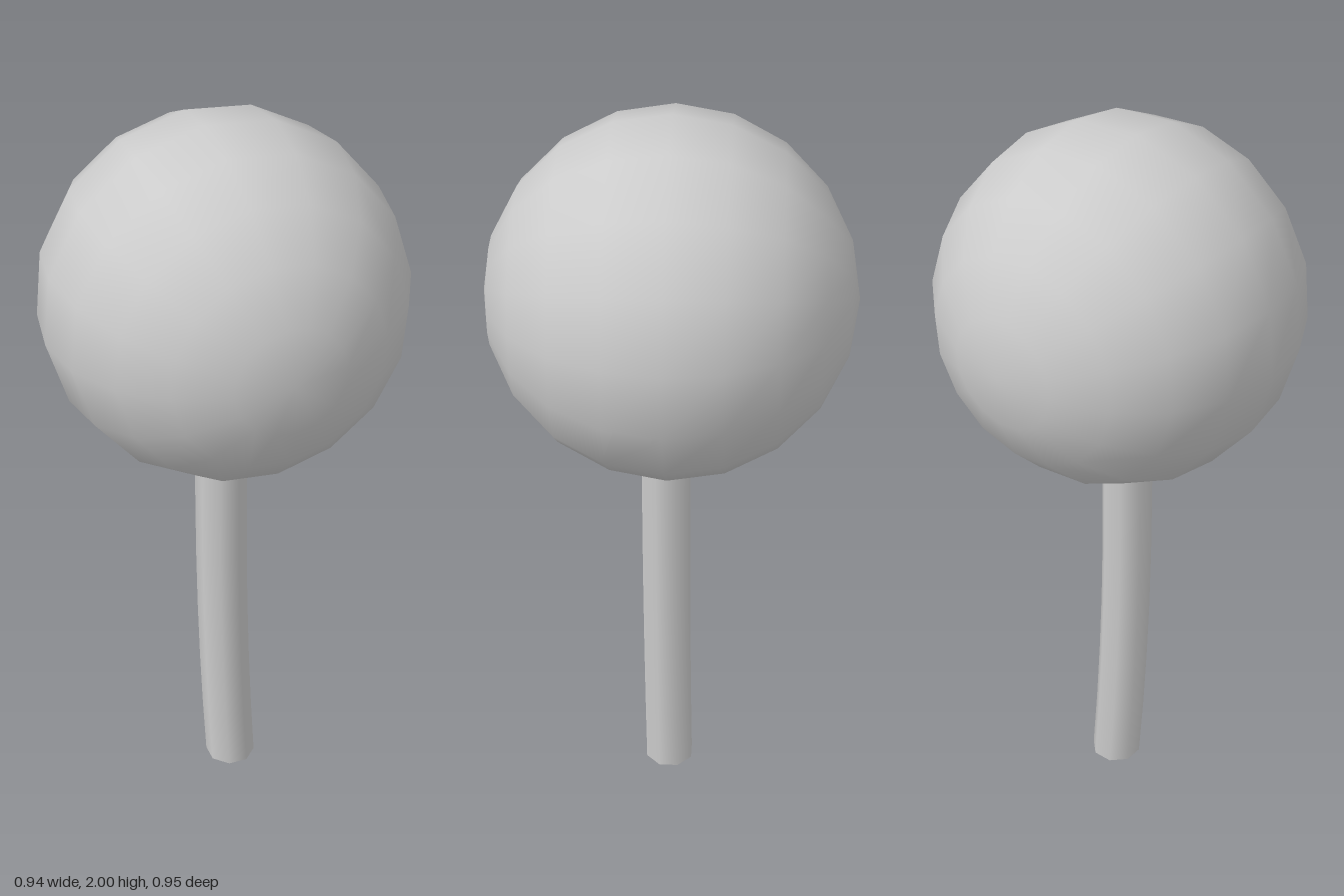
import * as THREE from 'three';

export function createModel() {
  const model = new THREE.Group();
  const material = new THREE.MeshStandardMaterial({ color: 0xcccccc });

  // Low-poly round head, poles facing front and back, slightly rolled
  const headGeometry = new THREE.SphereGeometry(0.474, 16, 10);
  headGeometry.rotateX(Math.PI / 2);
  headGeometry.rotateZ(THREE.MathUtils.degToRad(6));
  const head = new THREE.Mesh(headGeometry, material);
  head.name = 'head';
  head.position.y = 1.529;
  model.add(head);

  // Slim stem whose foot bends gently to the side
  const height = 1.1;
  const stemGeometry = new THREE.CylinderGeometry(0.069, 0.069, height, 8, 6);
  stemGeometry.rotateY(Math.PI / 8);
  stemGeometry.translate(0, height / 2, 0);
  const p = stemGeometry.attributes.position;
  for (let i = 0; i < p.count; i++) {
    const y = p.getY(i);
    const bend = Math.max(0, 1 - y / 0.9) ** 2;
    p.setX(i, p.getX(i) - 0.013 + 0.031 * bend);
    p.setZ(i, p.getZ(i) + 0.014 - 0.01 * bend);
  }
  stemGeometry.computeBoundingSphere();
  const stem = new THREE.Mesh(stemGeometry, material);
  stem.name = 'stem';
  model.add(stem);

  return model;
}
